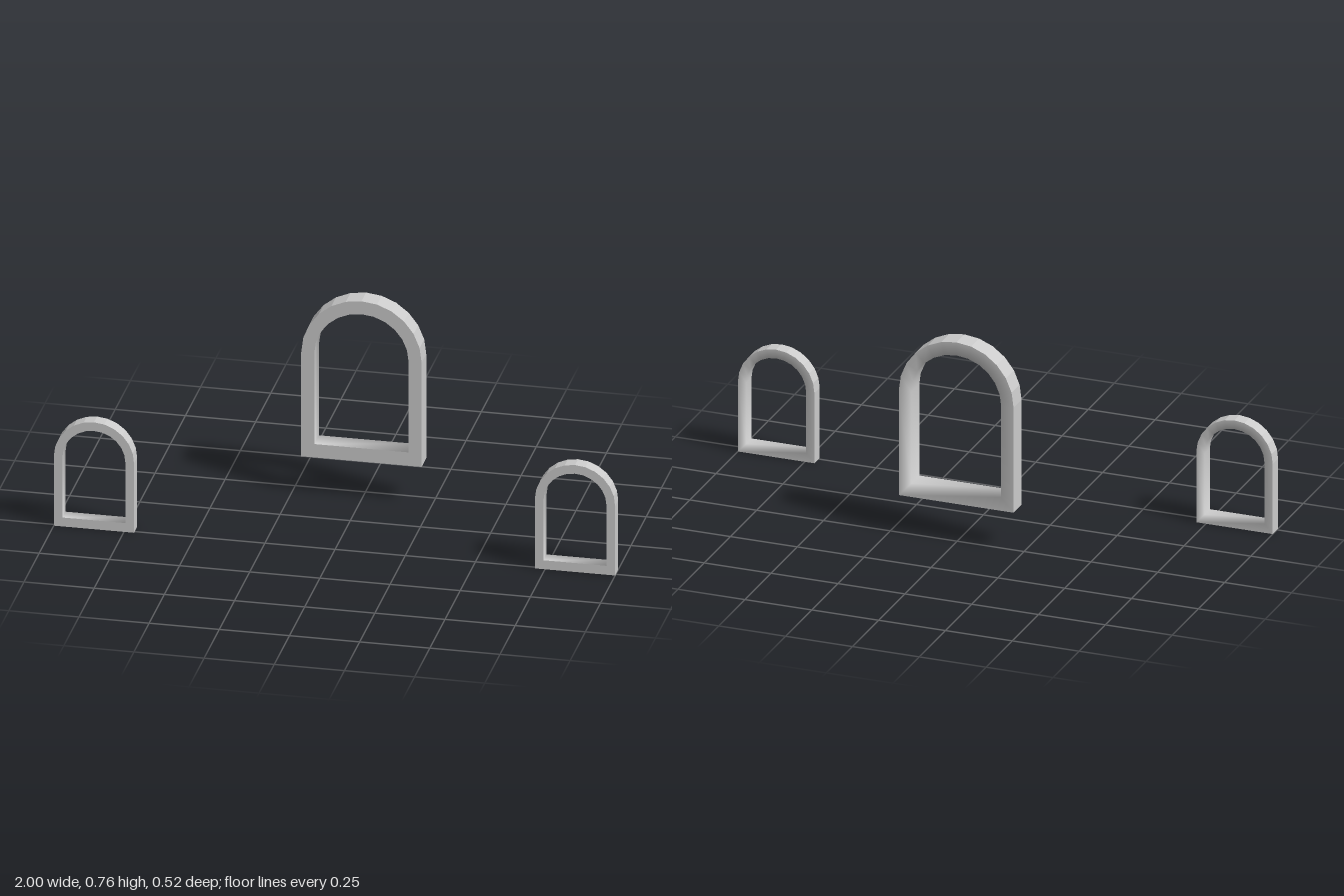
import * as THREE from 'three';

const ARC_STEPS = 12;

// Closed arch outline, counter-clockwise from the bottom left corner
function archLoop(halfWidth, bottom, spring, rise, z) {
  const loop = [[-halfWidth, bottom, z], [halfWidth, bottom, z]];
  for (let i = 0; i <= ARC_STEPS; i++) {
    const a = (i / ARC_STEPS) * Math.PI;
    loop.push([halfWidth * Math.cos(a), spring + rise * Math.sin(a), z]);
  }
  return loop;
}

// Skin consecutive loops with quads; faceted or with shared smooth normals
function skin(loops, faceted) {
  const n = loops[0].length;
  const index = [];
  for (let k = 0; k < loops.length - 1; k++) {
    for (let i = 0; i < n; i++) {
      const j = (i + 1) % n;
      const a = k * n + i, b = k * n + j, c = b + n, d = a + n;
      index.push(a, b, c, a, c, d);
    }
  }
  let geometry = new THREE.BufferGeometry();
  geometry.setAttribute('position', new THREE.Float32BufferAttribute(loops.flat(2), 3));
  geometry.setIndex(index);
  if (faceted) geometry = geometry.toNonIndexed();
  geometry.computeVertexNormals();
  return geometry;
}

// One arched window frame standing on its own base
function archFrame(name, material) {
  const group = new THREE.Group();
  group.name = name;
  const depth = 0.0255;
  const outerFront = archLoop(0.143, 0, 0.265, 0.143, depth);
  const outerBack = archLoop(0.143, 0, 0.265, 0.143, -depth);
  const innerFront = archLoop(0.112, 0.034, 0.265, 0.11, depth);
  const innerBack = archLoop(0.112, 0.034, 0.265, 0.11, -depth);
  const add = (part, geometry) => {
    const mesh = new THREE.Mesh(geometry, material);
    mesh.name = part;
    group.add(mesh);
  };
  add('frontFace', skin([outerFront, innerFront], true));
  add('outerRim', skin([outerBack, outerFront], true));
  // the reveal blends softly into the back face
  add('revealAndBackFace', skin([innerFront, innerBack, outerBack], false));
  return group;
}

export function createModel() {
  const model = new THREE.Group();
  model.name = 'archedWindowFrames';
  const material = new THREE.MeshStandardMaterial({ color: 0xcccccc });

  // Two small frames, mirrored left and right
  for (const side of [1, -1]) {
    const small = archFrame(side > 0 ? 'leftWindowFrame' : 'rightWindowFrame', material);
    small.position.set(side * 0.857, 0, 0.235);
    model.add(small);
  }

  // Large raised frame behind them
  const large = archFrame('centreWindowFrame', material);
  large.scale.setScalar(1.5);
  large.position.set(0, 0.145, -0.221);
  model.add(large);

  return model;
}
